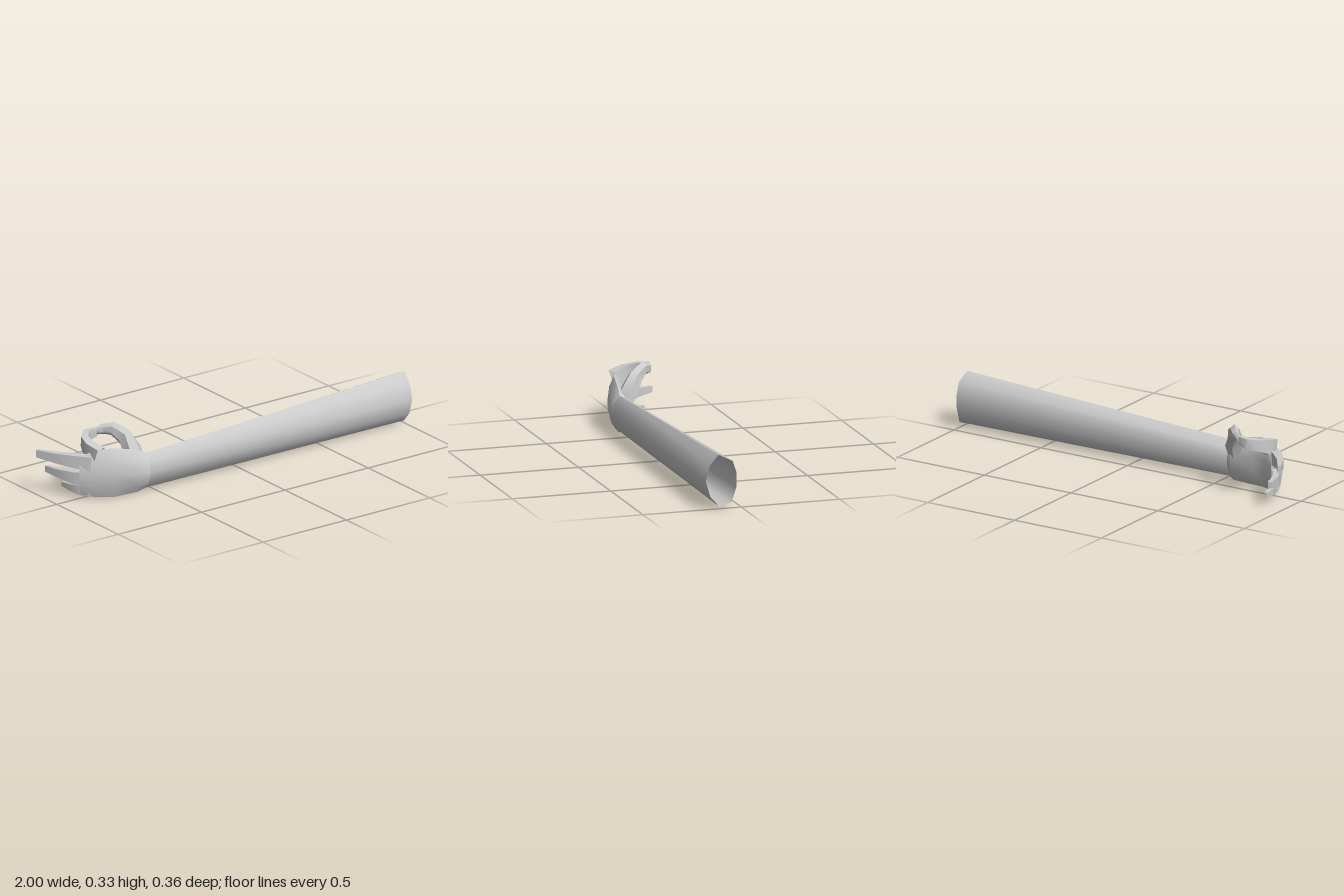
import * as THREE from 'three';
import { toCreasedNormals } from 'three/addons/utils/BufferGeometryUtils.js';

const material = new THREE.MeshStandardMaterial({ color: 0xcccccc, side: THREE.DoubleSide });

// Skin a list of equal-sized rings, with an optional cap on the last one
function loft(name, rings, cap, crease = 0.75) {
  const n = rings[0].length;
  const points = rings.flat();
  const index = [];
  for (let i = 0; i < rings.length - 1; i++) {
    for (let j = 0; j < n; j++) {
      const a = i * n + j, b = i * n + (j + 1) % n;
      index.push(a, b, b + n, a, b + n, a + n);
    }
  }
  if (cap) {
    const last = rings[rings.length - 1];
    const center = new THREE.Vector3();
    last.forEach((p) => center.addScaledVector(p, 1 / n));
    const base = (rings.length - 1) * n;
    points.push(center);
    for (let j = 0; j < n; j++) index.push(points.length - 1, base + j, base + (j + 1) % n);
  }
  const geometry = new THREE.BufferGeometry().setFromPoints(points);
  geometry.setIndex(index);
  const mesh = new THREE.Mesh(toCreasedNormals(geometry, crease), material);
  mesh.name = name;
  return mesh;
}

// Arm outline: u runs from the palm side (0) to the back of the hand (1), v runs up
const outline = [[0.6, 1], [0.15, 0.86], [0.02, 0.62], [0.03, 0.35], [0.18, 0.06],
  [0.58, 0], [0.86, 0.2], [1, 0.5], [0.88, 0.8]];

// Section: back x, back z, palm x, palm z, bottom y, top y
const section = ([bx, bz, px, pz, y0, y1]) => outline.map(([u, v]) => new THREE.Vector3(
  px + (bx - px) * u, y0 + (y1 - y0) * v, pz + (bz - pz) * u));

// Finger: stations of [x, y, z, half thickness, half width] along the bone
function finger(name, stations, sides = 4) {
  const centers = stations.map(([x, y, z]) => new THREE.Vector3(x, y, z));
  const up = new THREE.Vector3(0, 1, 0);
  const r = sides === 4 ? Math.SQRT2 : 1.08;
  const rings = stations.map(([, , , thick, wide], i) => {
    const t = centers[Math.min(i + 1, centers.length - 1)].clone()
      .sub(centers[Math.max(i - 1, 0)]).normalize();
    const side = t.clone().cross(up).normalize();
    const down = t.clone().cross(side);
    return Array.from({ length: sides }, (_, k) => {
      const a = ((k + 0.5) / sides) * Math.PI * 2;
      return centers[i].clone()
        .addScaledVector(side, Math.cos(a) * thick * r)
        .addScaledVector(down, Math.sin(a) * wide * r);
    });
  });
  return loft(name, rings, true, 0.8);
}

export function createModel() {
  const model = new THREE.Group();
  model.name = 'arm';

  // Tapered forearm, open at the elbow end
  const wrist = [-0.55, 0.152, -0.54, 0.05, 0.02, 0.2];
  model.add(loft('forearm', [
    [1, 0.18, 1, 0.02, 0.015, 0.272],
    wrist,
  ].map(section), false, 1.1));

  // Curved palm
  const hand = new THREE.Group();
  hand.name = 'hand';
  hand.add(loft('palm', [
    wrist,
    [-0.61, 0.15, -0.57, 0.035, 0.006, 0.225],
    [-0.73, 0.115, -0.69, 0.045, 0.003, 0.255],
    [-0.82, 0.07, -0.775, 0.02, 0.01, 0.255],
    [-0.88, 0.02, -0.835, -0.015, 0.02, 0.22],
  ].map(section), true, 1));

  // Three extended fingers
  hand.add(finger('middleFinger', [
    [-0.82, 0.188, 0.04, 0.022, 0.036],
    [-0.885, 0.197, -0.025, 0.021, 0.031],
    [-0.935, 0.204, -0.085, 0.016, 0.025],
    [-0.99, 0.211, -0.177, 0.008, 0.019],
  ]));
  hand.add(finger('ringFinger', [
    [-0.82, 0.108, 0.04, 0.022, 0.036],
    [-0.875, 0.109, -0.025, 0.02, 0.031],
    [-0.91, 0.116, -0.09, 0.015, 0.022],
    [-0.935, 0.121, -0.177, 0.008, 0.015],
  ]));
  hand.add(finger('littleFinger', [
    [-0.81, 0.045, 0.03, 0.02, 0.03],
    [-0.85, 0.043, -0.02, 0.017, 0.024],
    [-0.867, 0.044, -0.065, 0.012, 0.017],
    [-0.876, 0.046, -0.12, 0.007, 0.011],
  ]));

  // Bent index finger meeting the thumb
  hand.add(finger('indexFinger', [
    [-0.79, 0.225, 0.06, 0.028, 0.04],
    [-0.808, 0.247, 0.0, 0.023, 0.036],
    [-0.793, 0.266, -0.055, 0.018, 0.029],
    [-0.75, 0.277, -0.093, 0.016, 0.026],
    [-0.705, 0.285, -0.085, 0.012, 0.02],
  ]));
  hand.add(finger('thumb', [
    [-0.585, 0.14, 0.085, 0.045, 0.045],
    [-0.585, 0.21, 0.05, 0.045, 0.042],
    [-0.605, 0.272, 0.012, 0.029, 0.042],
    [-0.638, 0.302, -0.035, 0.021, 0.033],
    [-0.668, 0.297, -0.07, 0.017, 0.025],
    [-0.7, 0.287, -0.088, 0.01, 0.017],
  ], 6));

  model.add(hand);
  return model;
}
